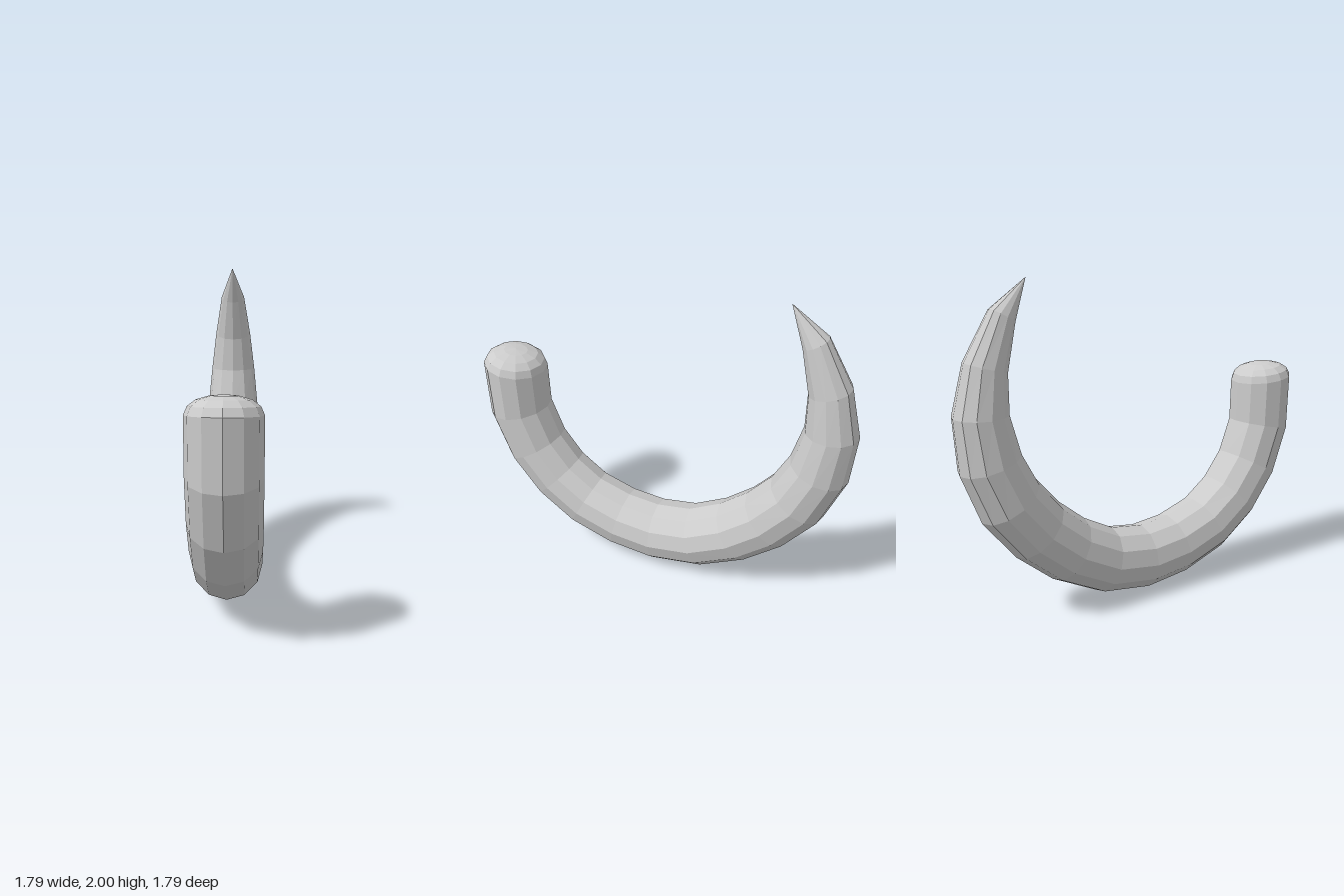
import * as THREE from 'three';

const SIDES = 12;

// Centre line in the hook's own plane: [along, height, radius]
const BODY = [
  [-0.75, 2.0, 0], [-0.9, 1.8, 0.08], [-1.01, 1.53, 0.125], [-1.05, 1.27, 0.157],
  [-1.01, 1.0, 0.183], [-0.905, 0.76, 0.198], [-0.735, 0.55, 0.203], [-0.53, 0.38, 0.205],
  [-0.28, 0.25, 0.205], [0, 0.207, 0.205], [0.26, 0.235, 0.204], [0.52, 0.325, 0.203],
  [0.73, 0.48, 0.203], [0.89, 0.69, 0.203], [0.99, 0.96, 0.202], [0.998, 1.28, 0.202],
];
// Rounded end: [distance past the last ring, radius]
const CAP = [[0.045, 0.183], [0.078, 0.14], [0.097, 0.075], [0.104, 0]];

// Rings with their travel direction
function makeRings() {
  const capDir = new THREE.Vector2(-0.12, 1).normalize();
  const rings = BODY.map(([u, y, r], i) => {
    const a = BODY[Math.max(i - 1, 0)];
    const b = BODY[Math.min(i + 1, BODY.length - 1)];
    const dir = i === BODY.length - 1 ? capDir
      : new THREE.Vector2(b[0] - a[0], b[1] - a[1]).normalize();
    return { u, y, r, dir };
  });
  const end = rings[rings.length - 1];
  for (const [d, r] of CAP) {
    rings.push({ u: end.u + capDir.x * d, y: end.y + capDir.y * d, r, dir: capDir });
  }
  return rings;
}

// Skin consecutive rings into one closed surface
function sweep(rings) {
  const positions = [];
  const index = [];
  for (const { u, y, r, dir } of rings) {
    for (let j = 0; j < SIDES; j++) {
      const t = (j / SIDES) * Math.PI * 2;
      const n = r * Math.cos(t);
      positions.push(u + dir.y * n, y - dir.x * n, r * Math.sin(t));
    }
  }
  for (let i = 0; i < rings.length - 1; i++) {
    for (let j = 0; j < SIDES; j++) {
      const k = (j + 1) % SIDES;
      const a = i * SIDES + j, b = i * SIDES + k;
      const c = a + SIDES, d = b + SIDES;
      if (rings[i].r > 0) index.push(a, c, b);
      if (rings[i + 1].r > 0) index.push(b, c, d);
    }
  }
  const geometry = new THREE.BufferGeometry();
  geometry.setAttribute('position', new THREE.Float32BufferAttribute(positions, 3));
  geometry.setIndex(index);
  geometry.computeVertexNormals();
  return geometry;
}

export function createModel() {
  const group = new THREE.Group();
  group.name = 'curvedHook';
  const material = new THREE.MeshStandardMaterial({ color: 0xcccccc, flatShading: true });
  const hook = new THREE.Mesh(sweep(makeRings()), material);
  hook.name = 'hook';
  // The hook lies in the diagonal plane between +x and +z
  hook.rotation.y = -Math.PI / 4;
  group.add(hook);
  return group;
}
